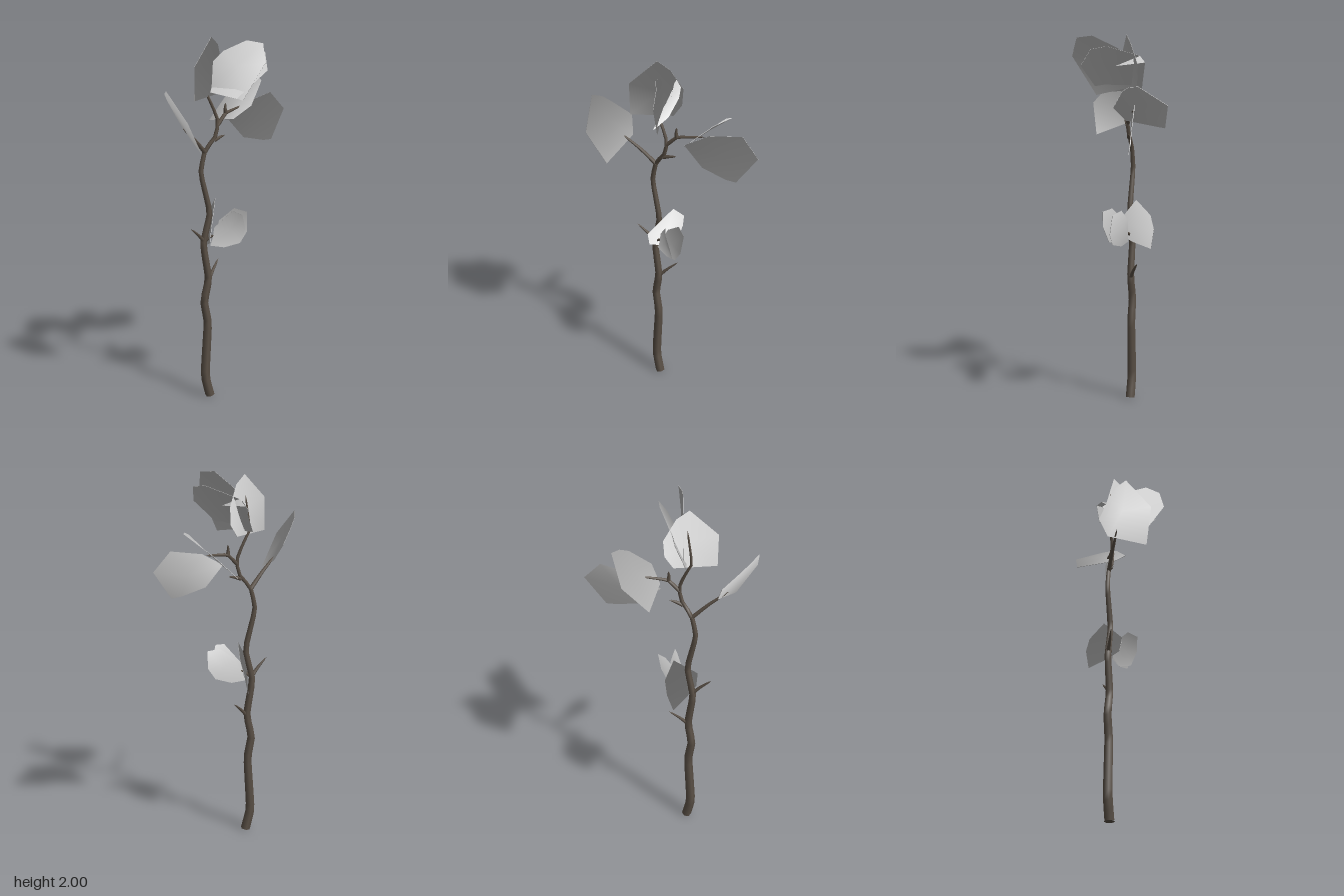
import * as THREE from 'three';

const bark = new THREE.MeshStandardMaterial({ color: 0x5a5046 });
const leafMat = new THREE.MeshStandardMaterial({ color: 0xcccccc });
const vec = (p) => new THREE.Vector3(...p);

// Tapered six-sided limb following a bent path, closed to a point at its tip
function limb(name, points, r0, r1, perSpan = 3) {
  const curve = new THREE.CatmullRomCurve3(points.map(vec), false, 'catmullrom', 0.2);
  const segs = (points.length - 1) * perSpan, sides = 6;
  const geo = new THREE.TubeGeometry(curve, segs, 1, sides, false);
  const pos = geo.attributes.position, v = new THREE.Vector3();
  for (let i = 0; i <= segs; i++) {
    const c = curve.getPointAt(i / segs);
    const r = i === segs ? 0 : THREE.MathUtils.lerp(r0, r1, (i / segs) ** 1.3);
    for (let j = 0; j <= sides; j++) {
      const k = i * (sides + 1) + j;
      v.fromBufferAttribute(pos, k).sub(c).multiplyScalar(r).add(c);
      pos.setXYZ(k, v.x, v.y, v.z);
    }
  }
  const mesh = new THREE.Mesh(geo, bark);
  mesh.name = name;
  return mesh;
}

// Thin angular leaf: two fans a hair apart, joined by a rim.
// Both sides share soft normals that lean along "facing" and spread to the rim.
function leaf(name, facing, outline) {
  const corners = outline.map(vec), n = corners.length;
  const centre = new THREE.Vector3(), up = new THREE.Vector3();
  for (const p of corners) centre.addScaledVector(p, 1 / n);
  const arms = corners.map((p) => p.clone().sub(centre));
  arms.forEach((a, i) => up.add(a.clone().cross(arms[(i + 1) % n])));
  up.setLength(0.001);
  const lean = vec(facing).normalize();

  const positions = [], normals = [], index = [];
  for (const side of [1, -1]) {
    for (const p of [centre, ...corners]) {
      positions.push(...p.clone().addScaledVector(up, side).toArray());
      normals.push(...p.clone().sub(centre).multiplyScalar(2).add(lean).normalize().toArray());
    }
  }
  const m = n + 1;
  for (let i = 0; i < n; i++) {
    const a = 1 + i, b = 1 + ((i + 1) % n);
    index.push(0, a, b, m, m + b, m + a); // two faces
    index.push(m + a, m + b, b, m + a, b, a); // rim
  }
  const geo = new THREE.BufferGeometry();
  geo.setAttribute('position', new THREE.Float32BufferAttribute(positions, 3));
  geo.setAttribute('normal', new THREE.Float32BufferAttribute(normals, 3));
  geo.setIndex(index);
  const mesh = new THREE.Mesh(geo, leafMat);
  mesh.name = name;
  return mesh;
}

export function createModel() {
  const model = new THREE.Group();
  model.name = 'sapling';

  // Trunk, with a closed foot
  model.add(limb('trunk', [
    [-0.11, 0.005, -0.013], [-0.137, 0.13, -0.013], [-0.12, 0.43, -0.015], [-0.14, 0.56, -0.015],
    [-0.115, 0.69, -0.013], [-0.143, 0.89, -0.013], [-0.107, 1.06, -0.012], [-0.155, 1.28, -0.012],
    [-0.13, 1.4, -0.014], [-0.075, 1.465, -0.016], [-0.055, 1.545, -0.018], [-0.09, 1.64, -0.015],
    [-0.125, 1.71, -0.01], [-0.1, 1.9, -0.015],
  ], 0.026, 0.004));
  const foot = new THREE.Mesh(new THREE.CircleGeometry(0.027, 12), bark);
  foot.name = 'trunkFoot';
  foot.rotation.x = Math.PI / 2;
  foot.position.set(-0.11, 0, -0.013);
  model.add(foot);

  // Branches
  model.add(limb('rightBranch', [[-0.13, 1.39, -0.014], [-0.2, 1.47, 0.03], [-0.287, 1.552, 0.087]], 0.012, 0.005));
  model.add(limb('leftBranch', [
    [-0.058, 1.53, -0.018], [-0.005, 1.585, -0.04], [0.05, 1.595, -0.072], [0.12, 1.605, -0.117],
  ], 0.011, 0.004));

  // Short bare twigs
  const twigs = [
    [[-0.115, 0.68, -0.013], [-0.08, 0.725, -0.04], [-0.033, 0.775, -0.08]],
    [[-0.14, 0.905, -0.013], [-0.18, 0.95, 0.01], [-0.23, 0.995, 0.035]],
    [[-0.14, 0.9, -0.013], [-0.11, 0.925, -0.005], [-0.08, 0.94, 0]],
    [[-0.08, 1.45, -0.016], [-0.05, 1.46, -0.025], [-0.01, 1.47, -0.04]],
    [[-0.005, 1.585, -0.04], [-0.008, 1.61, -0.038], [-0.006, 1.64, -0.04]],
  ];
  for (const t of twigs) model.add(limb('twig', t, 0.011, 0.003));

  // Leaf at the end of the right branch
  model.add(leaf('rightLeaf', [-0.8, 0.3, 0.5], [
    [-0.241, 1.45, 0.235], [-0.33, 1.62, 0.29], [-0.402, 1.765, 0.175], [-0.39, 1.74, 0.115],
    [-0.363, 1.70, 0.07], [-0.303, 1.62, -0.01], [-0.26, 1.53, 0.025],
  ]));

  // Pair of leaves on the left branch
  model.add(leaf('leftBackLeaf', [0.4, 0.85, -0.35], [
    [-0.024, 1.51, -0.238], [0.101, 1.635, -0.294], [0.241, 1.735, -0.182], [0.232, 1.73, -0.128],
    [0.204, 1.71, -0.085], [0.123, 1.62, -0.003], [0.043, 1.55, -0.044],
  ]));
  model.add(leaf('leftOuterLeaf', [0.65, 0.45, -0.6], [
    [0.024, 1.54, -0.065], [0.14, 1.615, -0.125], [0.31, 1.65, -0.188], [0.4, 1.55, -0.208],
    [0.304, 1.397, -0.155], [0.25, 1.4, -0.135], [0.12, 1.434, -0.098],
  ]));

  // Three leaves at the crown
  model.add(leaf('crownRearLeaf', [-0.6, 0.7, 0.1], [
    [-0.22, 1.685, 0.08], [-0.22, 1.86, 0.085], [-0.1, 1.995, 0.005], [-0.05, 1.95, -0.036],
    [-0.008, 1.84, -0.09], [-0.012, 1.75, -0.085], [-0.05, 1.685, -0.062],
  ]));
  model.add(leaf('crownSideLeaf', [0.5, 0.85, 0.1], [
    [0.142, 1.835, 0.171], [0.153, 1.92, 0.11], [0.1, 1.935, 0.042], [-0.058, 1.885, -0.085],
    [-0.084, 1.85, -0.104], [-0.13, 1.71, -0.07], [-0.009, 1.69, 0.124],
  ]));
  model.add(leaf('crownFrontLeaf', [-0.35, 0.75, 0.45], [
    [0.103, 1.885, 0.235], [0.1, 1.98, 0.21], [0.035, 1.99, 0.15], [-0.045, 1.925, 0.035],
    [-0.11, 1.82, -0.06], [-0.09, 1.72, -0.03], [0.024, 1.68, 0.13],
  ]));

  // Three leaves halfway up
  model.add(leaf('lowerSideLeaf', [0.6, 0.7, 0.2], [
    [-0.055, 1.12, -0.066], [-0.054, 1.04, -0.148], [-0.075, 0.96, -0.16], [-0.1, 0.85, -0.135],
    [-0.115, 0.88, -0.024], [-0.127, 0.91, 0.045], [-0.125, 0.985, 0.06],
  ]));
  model.add(leaf('lowerRearLeaf', [-0.4, 0.2, -0.8], [
    [0.034, 1.07, -0.015], [0.097, 1.05, 0.012], [0.09, 0.945, 0.03], [0.05, 0.885, 0.03],
    [-0.035, 0.865, 0.013], [-0.11, 0.88, 0], [-0.05, 1.01, -0.02],
  ]));
  model.add(leaf('lowerFrontLeaf', [-0.4, 0.2, -0.8], [
    [0.04, 1.06, 0.09], [0, 1.075, 0.05], [-0.085, 0.98, 0], [-0.1, 0.89, 0],
    [-0.035, 0.865, 0.013], [0.05, 0.9, 0.05], [0.06, 0.98, 0.08],
  ]));

  return model;
}
